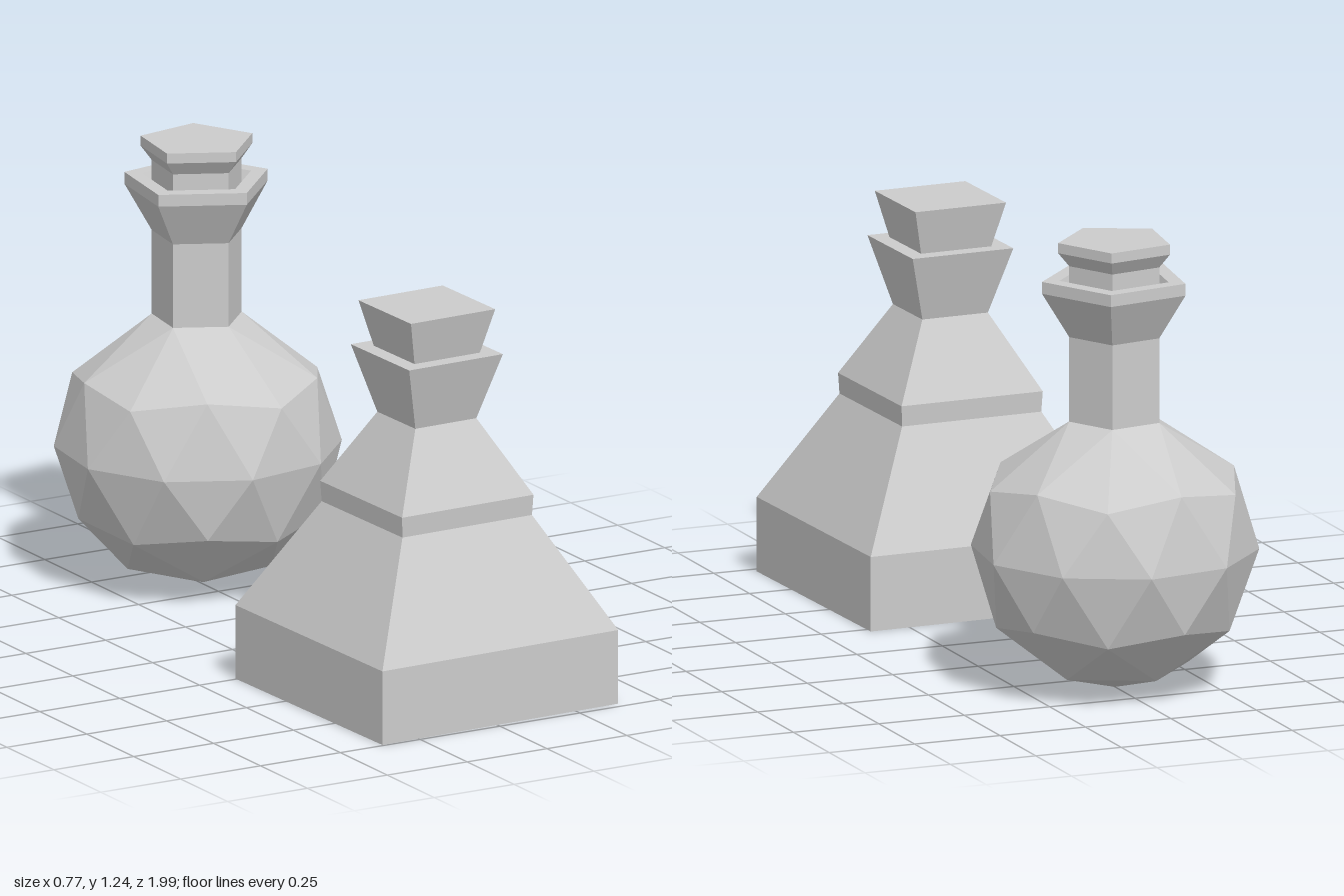
import * as THREE from 'three';

const deg = THREE.MathUtils.degToRad;
const material = new THREE.MeshStandardMaterial({ color: 0xcccccc, flatShading: true });

// Faceted solid of revolution; profile rows are [corner radius, y], bottom to top
function faceted(name, profile, sides, turn) {
  const points = profile.map(([r, y]) => new THREE.Vector2(r, y));
  const geometry = new THREE.LatheGeometry(points, sides).rotateY(deg(turn));
  const mesh = new THREE.Mesh(geometry, material);
  mesh.name = name;
  return mesh;
}

// Square bottle: profiles are given as half widths
function createSquareBottle() {
  const square = (name, rows) =>
    faceted(name, rows.map(([h, y]) => [h * Math.SQRT2, y]), 4, 46.5);
  const group = new THREE.Group();
  group.name = 'squareBottle';
  group.add(
    square('squareBody', [
      [0, 0], [0.375, 0], [0.375, 0.207], [0.206, 0.515], [0.209, 0.572],
      [0.097, 0.777], [0.149, 0.962], [0, 0.962],
    ]),
    square('squareStopper', [[0.104, 0.962], [0.134, 1.087], [0, 1.087]]),
  );
  group.position.z = 0.61;
  return group;
}

// Round flask: icosphere whose top ring is drawn in to meet a five-sided neck
function createRoundFlask() {
  const R = 0.39, neckR = 0.128, neckY = 0.745;
  const globe = new THREE.IcosahedronGeometry(R, 1);
  globe.rotateZ(Math.atan(2 / (1 + Math.sqrt(5)))); // a corner at each pole
  globe.rotateY(deg(28));
  globe.translate(0, R, 0);
  const p = globe.attributes.position;
  for (let i = 0; i < p.count; i++) {
    if (p.getY(i) < R * 1.8) continue;
    const r = Math.hypot(p.getX(i), p.getZ(i));
    const k = r > 0.01 ? neckR / r : 0;
    p.setXYZ(i, p.getX(i) * k, neckY, p.getZ(i) * k);
  }
  globe.computeVertexNormals();
  const body = new THREE.Mesh(globe, material);
  body.name = 'roundBody';

  const group = new THREE.Group();
  group.name = 'roundFlask';
  group.add(
    body,
    // neck, flared lip and shallow recess around the stopper
    faceted('roundNeck', [
      [neckR, neckY], [neckR, 0.98], [0.204, 1.105], [0.204, 1.138],
      [0.155, 1.138], [0.13, 1.09], [0, 1.09],
    ], 5, 10),
    faceted('roundStopper', [
      [0.128, 1.09], [0.128, 1.177], [0.159, 1.215], [0.159, 1.243], [0, 1.243],
    ], 5, 10),
  );
  group.position.z = -0.61;
  return group;
}

export function createModel() {
  const model = new THREE.Group();
  model.name = 'bottles';
  model.add(createSquareBottle(), createRoundFlask());
  return model;
}
